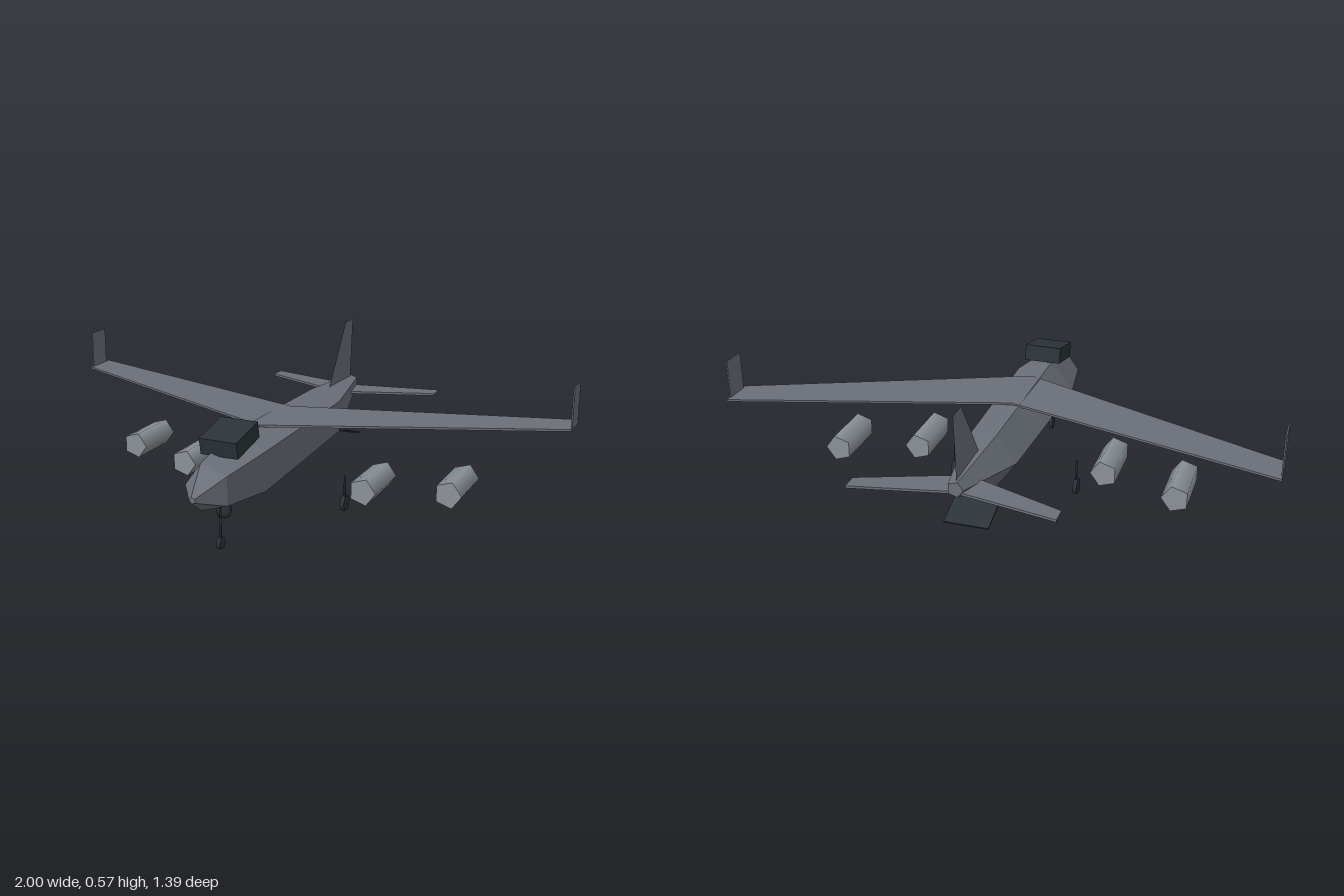
import * as THREE from 'three';

const airframe = new THREE.MeshStandardMaterial({ color: 0x6b7079, side: THREE.DoubleSide });
airframe.name = 'airframe grey';
const nacelle = new THREE.MeshStandardMaterial({ color: 0x8b9399 });
nacelle.name = 'engine grey';
const dark = new THREE.MeshStandardMaterial({ color: 0x2b3339 });
dark.name = 'dark slate';

export function createModel() {
  const model = new THREE.Group();
  model.name = 'aircraft';

  const add = (name, geometry, material, x = 0, y = 0, z = 0) => {
    const mesh = new THREE.Mesh(geometry, material);
    mesh.name = name;
    mesh.position.set(x, y, z);
    model.add(mesh);
    return mesh;
  };

  // Swept plate mirrored about x = 0: [lead, trail] z at root and tip
  const sweptPlate = (span, root, tip, thickness) => {
    const outline = [
      [0, root[0]], [span, tip[0]], [span, tip[1]],
      [0, root[1]], [-span, tip[1]], [-span, tip[0]],
    ].map(([x, z]) => new THREE.Vector2(x, z));
    return new THREE.ExtrudeGeometry(new THREE.Shape(outline), { depth: thickness, bevelEnabled: false })
      .rotateX(Math.PI / 2)
      .translate(0, thickness / 2, 0);
  };

  // Fuselage: five-sided loft, stations of [z, centre y, radius] from nose to tail
  const stations = [
    [0.695, 0.238, 0.012],
    [0.59, 0.245, 0.087],
    [0.365, 0.246, 0.122],
    [-0.3, 0.255, 0.104],
    [-0.63, 0.309, 0.029],
  ];
  const steps = stations.length - 1;
  const hull = new THREE.CylinderGeometry(1, 1, 1, 5, steps)
    .rotateY(-Math.PI / 2)
    .rotateX(Math.PI / 2);
  const p = hull.attributes.position;
  for (let i = 0; i < p.count; i++) {
    const [z, y, r] = stations[Math.round((0.5 - p.getZ(i)) * steps)];
    p.setXYZ(i, p.getX(i) * r, y + p.getY(i) * r, z);
  }
  const flatHull = hull.toNonIndexed();
  flatHull.computeVertexNormals();
  add('fuselage', flatHull, airframe);

  // Wing and tailplane
  add('wing', sweptPlate(1, [0.22, -0.04], [-0.2, -0.33], 0.008), airframe, 0, 0.353, 0);
  add('tailplane', sweptPlate(0.358, [-0.5, -0.62], [-0.633, -0.693], 0.009), airframe, 0, 0.292, 0);

  // Thin upright fin, drawn in the side plane
  const finOutline = [[-0.395, 0.335], [-0.555, 0.572], [-0.632, 0.572], [-0.613, 0.32]]
    .map(([z, y]) => new THREE.Vector2(-z, y));
  add('tailFin', new THREE.ShapeGeometry(new THREE.Shape(finOutline)).rotateY(Math.PI / 2), airframe);

  // Parts on both sides
  for (const side of [1, -1]) {
    const label = side > 0 ? 'left' : 'right';
    add(label + 'Winglet', new THREE.BoxGeometry(0.005, 0.148, 0.092), airframe, side * 0.9975, 0.425, -0.261);
    for (const [name, x, z] of [['InnerEngine', 0.36, 0.035], ['OuterEngine', 0.64, -0.067]]) {
      const engine = new THREE.CylinderGeometry(0.051, 0.051, 0.21, 5)
        .rotateY(Math.PI / 2)
        .rotateX(Math.PI / 2);
      add(label + name, engine, nacelle, side * x, 0.136, z);
    }
  }

  // Landing gear: strut and six-sided wheel
  const gear = (name, x, z, radius, width, top) => {
    const height = top - radius;
    add(name + 'Strut', new THREE.CylinderGeometry(0.004, 0.004, height, 6), dark, x, radius + height / 2, z);
    const wheel = new THREE.CylinderGeometry(radius, radius, width, 6)
      .rotateX(Math.PI / 2)
      .rotateY(Math.PI / 2)
      .rotateX(Math.PI / 2);
    add(name + 'Wheel', wheel, dark, x, radius, z);
  };
  gear('noseGear', 0, 0.512, 0.022, 0.014, 0.17);
  gear('leftMainGear', 0.24, 0.006, 0.03, 0.016, 0.134);
  gear('rightMainGear', -0.24, 0.006, 0.03, 0.016, 0.134);

  // Sensor ball under the nose
  add('sensorBall', new THREE.SphereGeometry(0.031, 6, 4), dark, 0, 0.133, 0.487);

  // Tilted cockpit box
  add('cockpit', new THREE.BoxGeometry(0.14, 0.06, 0.16), dark, 0, 0.375, 0.44).rotation.x = 0.2;

  // Lowered rear ramp
  add('rearRamp', new THREE.BoxGeometry(0.16, 0.006, 0.184), dark, 0, 0.15, -0.448).rotation.x = -0.31;

  return model;
}
